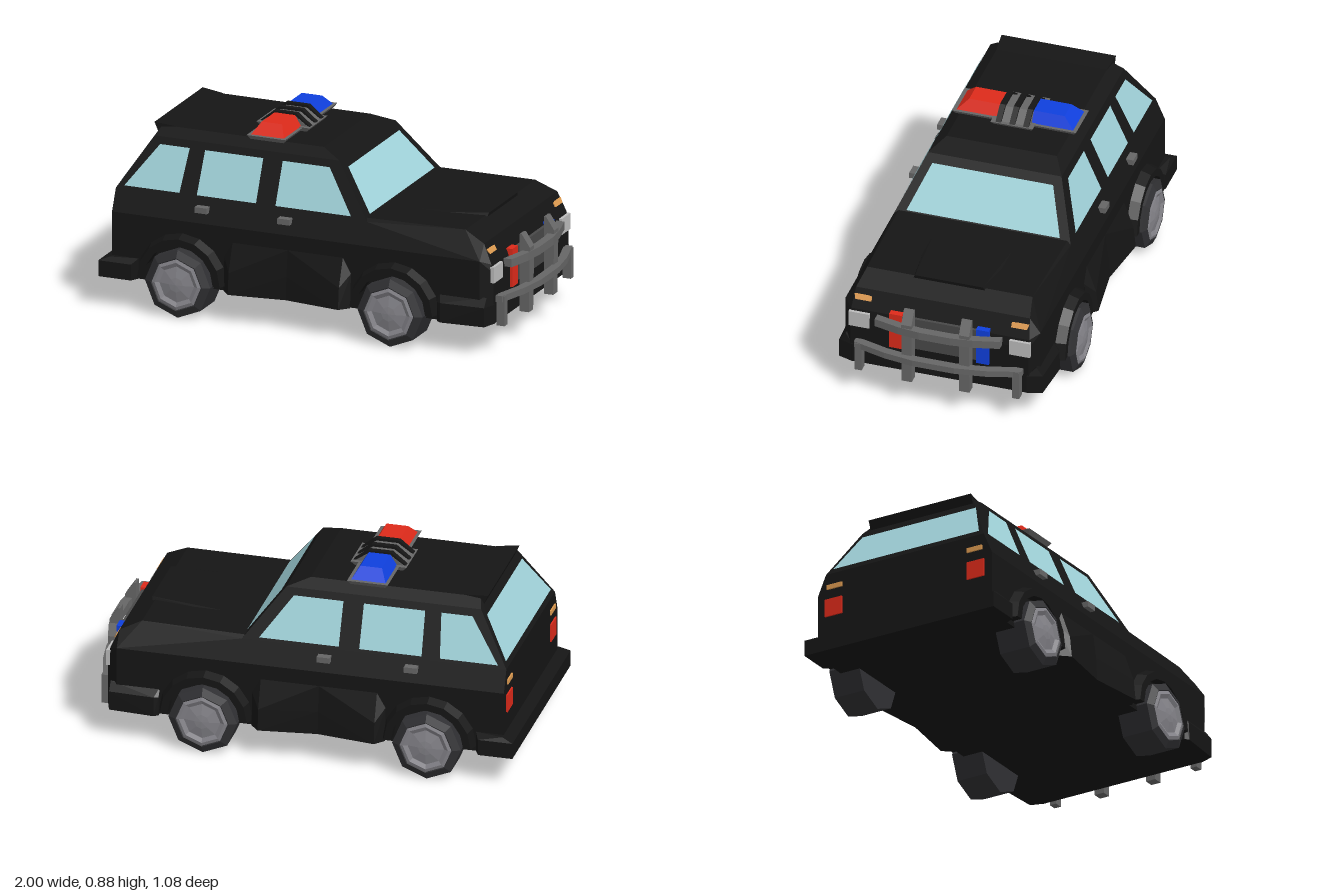
import * as THREE from 'three';
import { ConvexGeometry } from 'three/addons/geometries/ConvexGeometry.js';

const mat = (color) => new THREE.MeshStandardMaterial({ color, flatShading: true, side: THREE.DoubleSide });

export function createModel() {
  const car = new THREE.Group();
  car.name = 'patrolCar';
  const black = mat(0x151515), glass = mat(0xa0d2d9), grey = mat(0x666666), dark = mat(0x484848);
  const red = mat(0xdd2a1a), blue = mat(0x0f3fdd), orange = mat(0xdd9a50), lamp = mat(0xbbbbbb);
  const tyre = mat(0x303033), rim = mat(0x85848a);

  const add = (name, geometry, material, parent = car) => {
    const mesh = new THREE.Mesh(geometry, material);
    mesh.name = name;
    parent.add(mesh);
    return mesh;
  };
  // Convex block through corner points
  const hull = (name, pts, material) =>
    add(name, new ConvexGeometry(pts.map((p) => new THREE.Vector3(...p))), material);
  // Convex block mirrored across the car's long centre plane
  const symHull = (name, pts, material) =>
    hull(name, pts.flatMap(([x, y, z]) => [[x, y, z], [x, y, -z]]), material);
  // Box from its minimum and maximum corners
  const box = (name, [x0, y0, z0], [x1, y1, z1], material) => {
    const g = new THREE.BoxGeometry(x1 - x0, y1 - y0, Math.abs(z1 - z0));
    return add(name, g.translate((x0 + x1) / 2, (y0 + y1) / 2, (z0 + z1) / 2), material);
  };
  // Flat convex panel as a triangle fan
  const panel = (name, pts, material) => {
    const g = new THREE.BufferGeometry();
    const tris = [];
    for (let i = 1; i < pts.length - 1; i++) tris.push(...pts[0], ...pts[i], ...pts[i + 1]);
    g.setAttribute('position', new THREE.Float32BufferAttribute(tris, 3));
    g.computeVertexNormals();
    return add(name, g, material);
  };

  // Lower body with hood and nose
  symHull('lowerBody', [
    [-0.95, 0.14, 0.46], [-0.95, 0.44, 0.46], [-0.95, 0.54, 0.417],
    [0.28, 0.54, 0.417], [0.75, 0.558, 0.39], [0.85, 0.51, 0.41],
    [0.85, 0.44, 0.46], [0.85, 0.14, 0.46], [0.89, 0.42, 0.42], [0.9, 0.38, 0.42], [0.9, 0.14, 0.42],
  ], black);
  symHull('hoodScoop', [
    [0.34, 0.54, 0.22], [0.76, 0.55, 0.17], [0.765, 0.57, 0.16], [0.4, 0.553, 0.19],
  ], black);

  // Cabin, roof and rear spoiler
  symHull('cabin', [
    [-0.95, 0.54, 0.417], [0.28, 0.54, 0.417], [-0.805, 0.775, 0.315],
    [0.1, 0.775, 0.315], [-0.79, 0.81, 0.26], [0, 0.81, 0.26],
  ], black);
  symHull('spoiler', [
    [-0.825, 0.823, 0.27], [-0.8, 0.765, 0.27], [-0.72, 0.812, 0.26], [-0.81, 0.79, 0.27],
  ], black);

  // Front and rear windows lie just outside the cabin's slopes
  const front = (y) => 0.28 - (y - 0.54) * 0.766 + 0.005;
  const back = (y) => -0.95 + (y - 0.54) * 0.617 - 0.005;
  const endWindow = (name, x, y0, z0, y1, z1) => panel(name,
    [[x(y0), y0, z0], [x(y0), y0, -z0], [x(y1), y1, -z1], [x(y1), y1, z1]], glass);
  endWindow('windscreen', front, 0.56, 0.362, 0.742, 0.285);
  endWindow('rearWindow', back, 0.565, 0.385, 0.745, 0.3);

  // Side windows: bottom rear, top rear, top front, bottom front x
  const sideZ = (y) => 0.417 - (y - 0.54) * 0.434 + 0.004;
  const windows = [[-0.91, -0.77, -0.625, -0.64], [-0.555, -0.55, -0.265, -0.265], [-0.17, -0.17, 0.06, 0.2]];
  for (const s of [1, -1]) {
    for (const [a, b, c, d] of windows) {
      panel('sideWindow', [[a, 0.555], [b, 0.744], [c, 0.744], [d, 0.555]]
        .map(([x, y]) => [x, y, s * sideZ(y)]), glass);
    }
    for (const x of [-0.515, -0.11]) {
      box('doorHandle', [x - 0.03, 0.488, s * 0.42], [x + 0.03, 0.515, s * 0.463], grey);
    }
    // Sills widen towards each wheel
    for (const [x, w] of [[-0.36, -0.4], [0.18, 0.22]]) {
      hull('sill', [
        [x, 0.14, 0.515], [x, 0.24, 0.505], [x, 0.37, 0.46], [w, 0.14, 0.47], [w, 0.3, 0.46],
        [-0.09, 0.14, 0.48], [-0.09, 0.25, 0.475], [-0.09, 0.37, 0.46],
        [-0.09, 0.14, 0.4], [x, 0.14, 0.4], [x, 0.37, 0.42], [-0.09, 0.37, 0.42],
      ].map(([px, y, z]) => [px, y, z * s]), black);
    }
    // Front fender corner
    hull('frontFender', [
      [0.65, 0.14, 0.48], [0.67, 0.14, 0.495], [0.88, 0.14, 0.48], [0.903, 0.14, 0.41],
      [0.65, 0.23, 0.48], [0.67, 0.23, 0.49], [0.88, 0.23, 0.48], [0.903, 0.23, 0.41],
      [0.65, 0.27, 0.45], [0.88, 0.27, 0.45], [0.65, 0.14, 0.4], [0.65, 0.27, 0.4],
    ].map(([x, y, z]) => [x, y, z * s]), black);
    // Lamps at both ends
    box('headlight', [0.855, 0.335, s * 0.33], [0.907, 0.41, s * 0.428], lamp);
    hull('frontIndicator', [[0.878, 0.463, 0.33], [0.878, 0.463, 0.405], [0.866, 0.484, 0.33],
      [0.866, 0.484, 0.412], [0.85, 0.463, 0.33], [0.85, 0.484, 0.41]]
      .map(([x, y, z]) => [x, y, z * s]), orange);
    box('tailLight', [-0.957, 0.33, s * 0.33], [-0.94, 0.415, s * 0.42], red);
    box('rearIndicator', [-0.957, 0.463, s * 0.33], [-0.94, 0.485, s * 0.41], orange);
    box('grilleLight', [0.88, 0.26, s * 0.175], [0.912, 0.44, s * 0.235], s > 0 ? red : blue);
  }
  box('grille', [0.89, 0.27, -0.175], [0.905, 0.43, 0.175], dark);
  symHull('rearBumper', [
    [-1, 0.14, 0.5], [-1, 0.215, 0.5], [-0.95, 0.235, 0.485],
    [-0.84, 0.14, 0.5], [-0.84, 0.215, 0.5], [-0.82, 0.14, 0.46], [-0.82, 0.235, 0.46],
  ], black);

  // Wheels with faceted rims, each under a flared arch
  const ring = (r, y) => new THREE.Vector2(r, y);
  const tyreShape = [ring(0, 0), ring(0.16, 0), ring(0.16, 0.155), ring(0.125, 0.172), ring(0.11, 0.165)];
  const rimShape = [ring(0.126, 0.168), ring(0.105, 0.175), ring(0.085, 0.165), ring(0.035, 0.175), ring(0, 0.178)];
  const archShape = new THREE.Shape();
  for (let i = 0; i <= 8; i++) {
    const a = (i / 8) * Math.PI;
    archShape[i ? 'lineTo' : 'moveTo'](Math.cos(a) * 0.22, Math.sin(a) * 0.22);
  }
  for (let i = 8; i >= 0; i--) {
    const a = (i / 8) * Math.PI;
    archShape.lineTo(Math.cos(a) * 0.168, Math.sin(a) * 0.168);
  }
  for (const x of [-0.605, 0.435]) {
    for (const s of [1, -1]) {
      const wheel = new THREE.Group();
      wheel.name = 'wheel';
      wheel.position.set(x, 0.16, s * 0.36);
      wheel.rotation.x = s * Math.PI / 2;
      add('tyre', new THREE.LatheGeometry(tyreShape, 8), tyre, wheel);
      add('rim', new THREE.LatheGeometry(rimShape, 8), rim, wheel);
      car.add(wheel);
      // Arch narrows towards its outer face
      const g = new THREE.ExtrudeGeometry(archShape, { depth: 0.055, bevelEnabled: false });
      const p = g.attributes.position;
      for (let i = 0; i < p.count; i++) {
        if (p.getZ(i) > 0.03 && Math.hypot(p.getX(i), p.getY(i)) > 0.2) {
          p.setXY(i, p.getX(i) * 0.92, p.getY(i) * 0.92);
        }
      }
      g.computeVertexNormals();
      const arch = add('wheelArch', g, black);
      arch.position.set(x, 0.165, s > 0 ? 0.452 : -0.452);
      arch.rotation.y = s > 0 ? 0 : Math.PI;
    }
  }

  // Curved push bars on upright posts
  const pushBar = (name, half, y0, y1, xTip, xMid) => {
    const shape = new THREE.Shape();
    const steps = [-1, -0.6, -0.25, 0.25, 0.6, 1];
    const bow = (t) => xMid - (xMid - xTip) * t * t;
    steps.forEach((t, i) => shape[i ? 'lineTo' : 'moveTo'](bow(t), t * half));
    steps.reverse().forEach((t) => shape.lineTo(bow(t) - 0.04, t * half));
    const g = new THREE.ExtrudeGeometry(shape, { depth: y1 - y0, bevelEnabled: false });
    add(name, g.rotateX(Math.PI / 2).translate(0, y1, 0), grey);
  };
  pushBar('lowerPushBar', 0.395, 0.238, 0.268, 0.93, 1);
  pushBar('upperPushBar', 0.295, 0.375, 0.413, 0.935, 0.98);
  for (const s of [1, -1]) {
    hull('tallPost', [0.112, 0.16].flatMap((z) => [[0.915, 0.125, s * z], [0.96, 0.125, s * z],
      [0.965, 0.43, s * z], [0.925, 0.49, s * z], [0.915, 0.49, s * z]]), grey);
    box('shortPost', [0.9, 0.125, s * 0.355], [0.94, 0.265, s * 0.388], grey);
  }

  // Roof light bar
  const cx = -0.27;
  symHull('lightBarBase', [[cx - 0.08, 0.808, 0.28], [cx + 0.08, 0.808, 0.28],
    [cx - 0.095, 0.828, 0.293], [cx + 0.095, 0.828, 0.293]], grey);
  symHull('lightBarCentreBase', [[cx - 0.11, 0.808, 0.09], [cx + 0.11, 0.808, 0.09],
    [cx - 0.13, 0.83, 0.1], [cx + 0.13, 0.83, 0.1]], grey);
  symHull('lightBarCentre', [[cx - 0.115, 0.828, 0.08], [cx + 0.115, 0.828, 0.08],
    [cx - 0.05, 0.873, 0.08], [cx + 0.05, 0.873, 0.08]], grey);
  for (const z of [-0.065, 0, 0.065]) {
    hull('lightBarRib', [z - 0.013, z + 0.013].flatMap((w) => [[cx - 0.125, 0.828, w], [cx + 0.125, 0.828, w],
      [cx - 0.055, 0.884, w], [cx + 0.055, 0.884, w]]), black);
  }
  for (const s of [1, -1]) {
    hull('beacon', [[0.08, 0.828, 0.08], [0.08, 0.828, 0.275], [0.05, 0.877, 0.08], [0.05, 0.877, 0.225]]
      .flatMap(([x, y, z]) => [[cx + x, y, z * s], [cx - x, y, z * s]]), s > 0 ? red : blue);
  }
  return car;
}
